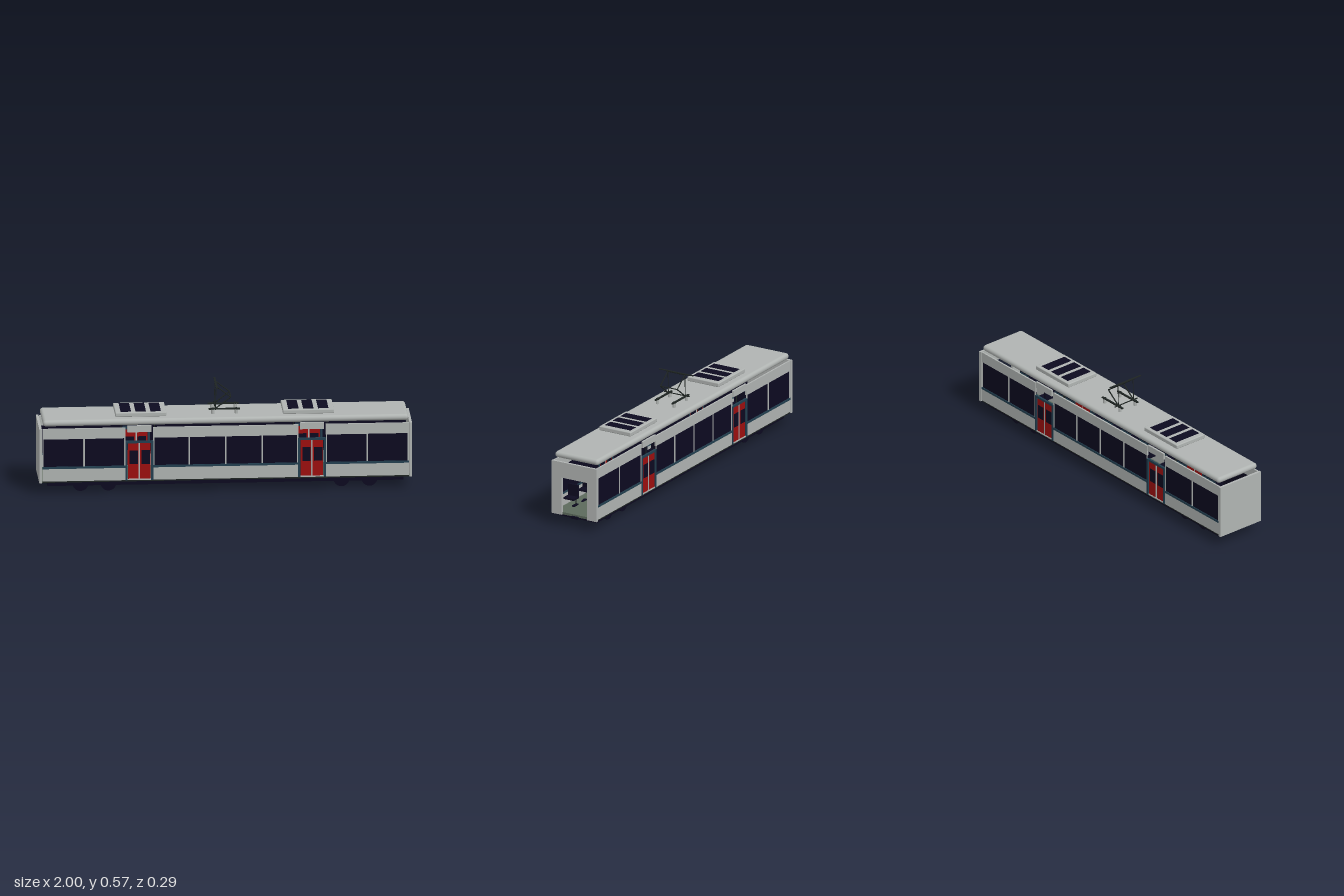
import * as THREE from 'three';
import { RoundedBoxGeometry } from 'three/addons/geometries/RoundedBoxGeometry.js';

const mat = (name, color) => Object.assign(new THREE.MeshStandardMaterial({ color }), { name });
const grey = mat('body grey', 0xb0b4b2);
const navy = mat('dark glass', 0x0c0a20);
const red = mat('door red', 0x9c0f0f);
const teal = mat('trim teal', 0x223f50);
const iron = mat('pantograph iron', 0x1e2422);
const floorGreen = mat('floor green', 0x5c6a5c);

// Box given by its limits on each axis
function box(parent, name, material, [x0, x1], [y0, y1], [z0, z1], radius = 0) {
  const size = [x1 - x0, y1 - y0, z1 - z0];
  const geo = radius ? new RoundedBoxGeometry(...size, 4, radius) : new THREE.BoxGeometry(...size);
  const mesh = new THREE.Mesh(geo, material);
  mesh.position.set((x0 + x1) / 2, (y0 + y1) / 2, (z0 + z1) / 2);
  mesh.name = name;
  parent.add(mesh);
  return mesh;
}

// Round bar between two points
function rod(parent, name, material, a, b, r) {
  const p = new THREE.Vector3(...a), q = new THREE.Vector3(...b);
  const mesh = new THREE.Mesh(new THREE.CylinderGeometry(r, r, p.distanceTo(q), 8), material);
  mesh.position.copy(p).add(q).multiplyScalar(0.5);
  mesh.quaternion.setFromUnitVectors(new THREE.Vector3(0, 1, 0), q.sub(p).normalize());
  mesh.name = name;
  parent.add(mesh);
}

const DOORS = [-0.463, 0.463];
const BAYS = [
  { x: [-0.983, -0.537], posts: [-0.76] },
  { x: [-0.39, 0.39], posts: [-0.195, 0, 0.195] },
  { x: [0.537, 0.983], posts: [0.76] },
];

// One long side, built facing +z
function createSide() {
  const side = new THREE.Group();
  side.name = 'sideWall';
  box(side, 'sill', iron, [-0.983, 0.983], [0.065, 0.075], [0.122, 0.136]);
  for (const { x, posts } of BAYS) {
    box(side, 'lowerPanel', grey, x, [0.073, 0.142], [0.13, 0.139]);
    box(side, 'waistStripe', teal, x, [0.142, 0.154], [0.13, 0.14]);
    box(side, 'windowBand', navy, x, [0.154, 0.307], [0.131, 0.136]);
    box(side, 'upperPanel', grey, x, [0.307, 0.365], [0.13, 0.139]);
    for (const p of posts) box(side, 'windowPost', grey, [p - 0.004, p + 0.004], [0.154, 0.307], [0.136, 0.139]);
    for (const e of [x[0], x[1] - 0.007]) box(side, 'windowEdge', grey, [e, e + 0.007], [0.154, 0.307], [0.136, 0.139]);
  }
  for (const c of DOORS) {
    for (const s of [-1, 1]) {
      const post = c + s * 0.069;
      box(side, 'doorPost', teal, [post - 0.006, post + 0.006], [0.073, 0.29], [0.129, 0.142]);
      const leaf = c + s * 0.032;
      box(side, 'doorLeaf', red, [leaf - 0.028, leaf + 0.028], [0.08, 0.278], [0.13, 0.137]);
      for (const z of [[0.137, 0.139], [0.128, 0.13]])
        box(side, 'doorWindow', navy, [leaf - 0.02, leaf + 0.024], [0.162, 0.238], z);
    }
    box(side, 'doorSeal', grey, [c - 0.004, c + 0.004], [0.08, 0.278], [0.131, 0.138]);
    box(side, 'doorLintel', teal, [c - 0.075, c + 0.075], [0.278, 0.29], [0.129, 0.14]);
    box(side, 'doorStep', grey, [c - 0.063, c + 0.063], [0.073, 0.08], [0.129, 0.14]);
    box(side, 'doorHeader', grey, [c - 0.065, c + 0.065], [0.34, 0.376], [0.132, 0.143]);
    rod(side, 'grabPole', iron, [c + 0.085, 0.077, 0.068], [c + 0.085, 0.378, 0.068], 0.003);
  }
  // Rows of seats behind the windows
  for (const x of [-0.85, -0.7, -0.3, -0.15, 0, 0.15, 0.3, 0.7, 0.85]) {
    box(side, 'seatBack', navy, [x - 0.006, x + 0.006], [0.115, 0.19], [0.064, 0.128]);
    box(side, 'seatCushion', navy, [x, x + 0.05], [0.115, 0.125], [0.064, 0.128]);
    box(side, 'seatFoot', navy, [x, x + 0.04], [0.077, 0.085], [0.066, 0.08]);
    rod(side, 'seatLeg', iron, [x + 0.015, 0.08, 0.07], [x + 0.015, 0.118, 0.07], 0.003);
  }
  return side;
}

function createPantograph() {
  const g = new THREE.Group();
  g.name = 'pantograph';
  for (const z of [-0.053, 0.053]) {
    box(g, 'baseRail', iron, [-0.085, 0.083], [0.433, 0.44], [z - 0.005, z + 0.005]);
    for (const x of [-0.063, 0.063]) {
      rod(g, 'insulator', grey, [x, 0.408, z], [x, 0.434, z], 0.009);
      rod(g, 'insulatorCap', iron, [x, 0.434, z], [x, 0.441, z], 0.009);
    }
    rod(g, 'lowerArm', iron, [-0.05, 0.438, z], [0.033, 0.502, z], 0.0035);
    rod(g, 'upperArm', iron, [0.033, 0.502, z], [-0.045, 0.562, z], 0.003);
    rod(g, 'stayRod', iron, [-0.05, 0.438, z], [-0.045, 0.562, z], 0.002);
  }
  rod(g, 'baseCrossBar', iron, [-0.05, 0.44, -0.08], [-0.05, 0.44, 0.08], 0.003);
  rod(g, 'elbowBar', iron, [0.033, 0.502, -0.055], [0.033, 0.502, 0.055], 0.003);
  rod(g, 'headBar', iron, [-0.045, 0.562, -0.062], [-0.045, 0.562, 0.062], 0.004);
  box(g, 'contactStrip', iron, [-0.05, -0.04], [0.564, 0.567], [-0.107, 0.107]);
  return g;
}

export function createModel() {
  const tram = new THREE.Group();
  tram.name = 'tramCar';

  // Both long sides
  const front = createSide();
  const back = createSide();
  back.rotation.y = Math.PI;
  tram.add(front, back);

  // End walls: solid at one end, open gangway at the other
  box(tram, 'closedEnd', grey, [-1, -0.986], [0.065, 0.365], [-0.142, 0.142]);
  const U = new THREE.Shape([[-0.142, 0.065], [-0.08, 0.065], [-0.08, 0.277], [0.08, 0.277], [0.08, 0.065],
    [0.142, 0.065], [0.142, 0.365], [-0.142, 0.365]].map(([x, y]) => new THREE.Vector2(x, y)));
  const gangway = new THREE.Mesh(new THREE.ExtrudeGeometry(U, { depth: 0.014, bevelEnabled: false }), grey);
  gangway.name = 'gangwayEnd';
  gangway.rotation.y = Math.PI / 2;
  gangway.position.x = 0.986;
  tram.add(gangway);

  // Floor, underframe and coupler
  box(tram, 'floor', floorGreen, [-0.986, 0.988], [0.064, 0.077], [-0.13, 0.13]);
  box(tram, 'underframe', navy, [-0.955, 0.955], [0.041, 0.066], [-0.115, 0.115]);
  box(tram, 'coupler', navy, [0.95, 0.997], [0.054, 0.068], [-0.02, 0.02]);

  // Wheels and axles
  for (const x of [-0.775, -0.625, 0.625, 0.775]) {
    for (const z of [-0.073, 0.073]) {
      const wheel = new THREE.Mesh(new THREE.CylinderGeometry(0.043, 0.043, 0.012, 28), navy);
      wheel.name = 'wheel';
      wheel.rotation.x = Math.PI / 2;
      wheel.position.set(x, 0.043, z);
      tram.add(wheel);
    }
  }

  // Roof with two ventilation units
  box(tram, 'roof', grey, [-0.98, 0.98], [0.376, 0.41], [-0.137, 0.137], 0.0165);
  for (const c of [-0.452, 0.447]) {
    box(tram, 'roofUnit', grey, [c - 0.137, c + 0.137], [0.413, 0.437], [-0.099, 0.099], 0.005);
    box(tram, 'roofUnitMount', grey, [c - 0.1, c + 0.1], [0.408, 0.415], [-0.07, 0.07]);
    for (const d of [-0.08, 0, 0.08])
      box(tram, 'ventGrille', navy, [c + d - 0.028, c + d + 0.028], [0.434, 0.439], [-0.08, 0.08]);
  }

  tram.add(createPantograph());
  return tram;
}
